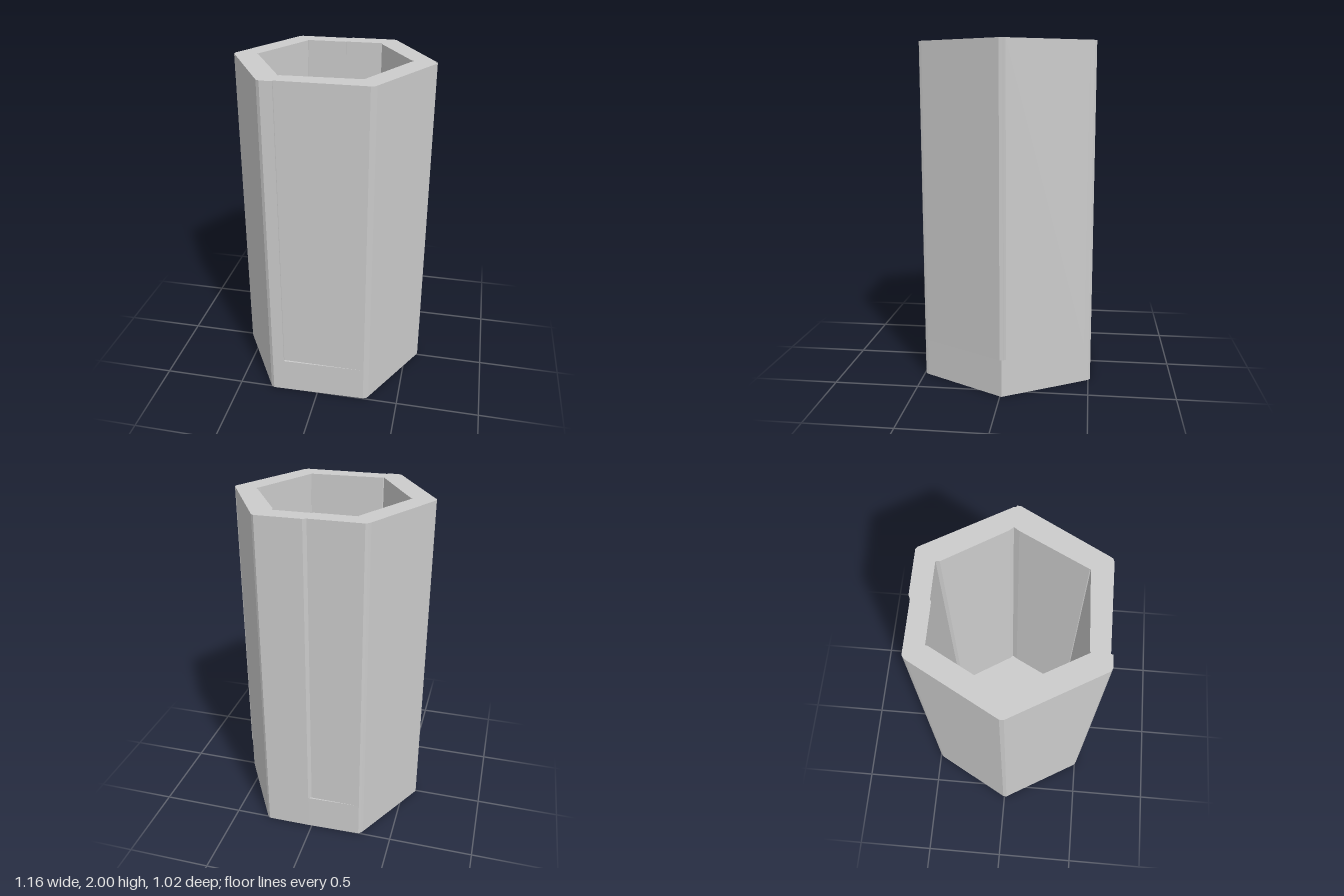
import * as THREE from 'three';

const FLOOR = 0.22, HEIGHT = 2;

// Outline points are [x, z]; extrusion runs upward from y0 to y1.
const toPoints = (list) => list.map(([x, z]) => new THREE.Vector2(x, -z));

function prism(name, outline, y0, y1, hole) {
  const shape = new THREE.Shape(toPoints(outline));
  // The hole winds against the outline so that its walls face inward.
  if (hole) shape.holes.push(new THREE.Path(toPoints(hole).reverse()));
  const geometry = new THREE.ExtrudeGeometry(shape, { depth: y1 - y0, bevelEnabled: false });
  geometry.rotateX(-Math.PI / 2);
  geometry.translate(0, y0, 0);
  const mesh = new THREE.Mesh(geometry, new THREE.MeshStandardMaterial({ color: 0xcccccc }));
  mesh.name = name;
  return mesh;
}

// Hexagon with slightly blunt corners; the wall adds fine steps on three sides.
function outerOutline(stepped) {
  return [
    ...(stepped ? [[0.57, -0.036], [0.57, -0.024], [0.58, -0.02], [0.58, 0]] : [[0.58, -0.01]]),
    [0.32, 0.475], [0.31, 0.49], [0.29, 0.497],
    ...(stepped ? [[-0.21, 0.497]] : []),
    [-0.21, 0.508], [-0.28, 0.51], [-0.3, 0.497],
    [-0.58, 0.015], [-0.58, -0.008],
    [-0.325, -0.475], [-0.315, -0.49], [-0.3, -0.501],
    ...(stepped ? [[0, -0.501]] : []),
    [0.02, -0.511], [0.28, -0.512], [0.295, -0.5], [0.31, -0.475],
  ];
}

// Six-sided cavity
const cavity = [
  [0.45, -0.025], [0.43, 0.005], [0.24, 0.375], [0.24, 0.38],
  [-0.13, 0.393], [-0.205, 0.396], [-0.21, 0.402],
  [-0.435, 0.01], [-0.45, 0], [-0.44, -0.02],
  [-0.24, -0.385], [-0.24, -0.395], [0, -0.395], [0, -0.402],
  [0.22, -0.402], [0.22, -0.38], [0.43, -0.045],
];

export function createModel() {
  const group = new THREE.Group();
  group.name = 'hexagonalCup';
  group.add(prism('base', outerOutline(false), 0, FLOOR));
  group.add(prism('wall', outerOutline(true), FLOOR, HEIGHT, cavity));
  return group;
}
